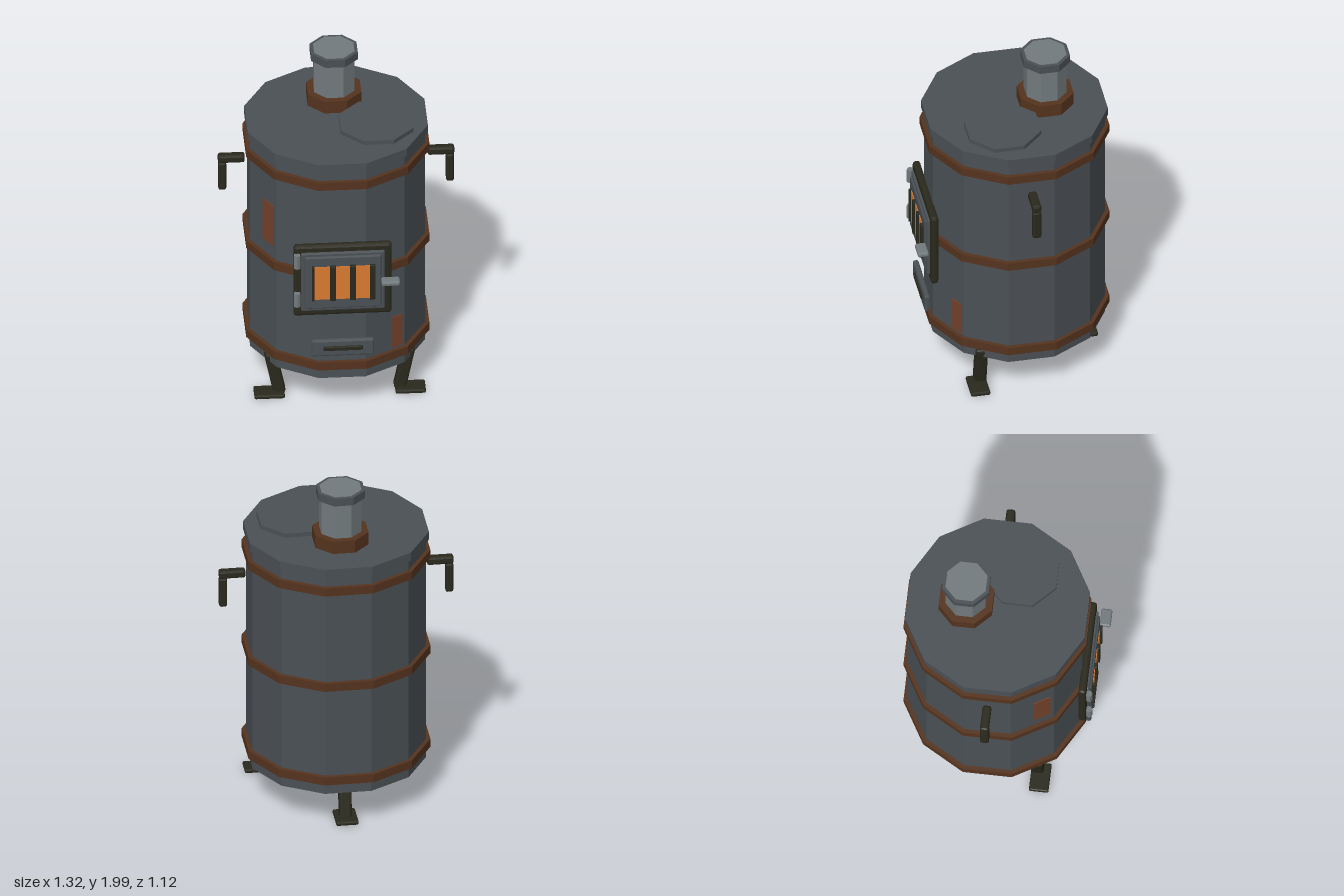
import * as THREE from 'three';
import { RoundedBoxGeometry } from 'three/addons/geometries/RoundedBoxGeometry.js';

const CZ = -0.05; // barrel axis

export function createModel() {
  const root = new THREE.Group();
  root.name = 'barrelStove';
  const mat = (name, color) => {
    const m = new THREE.MeshStandardMaterial({ color });
    m.name = name;
    return m;
  };
  const steel = mat('dark steel', 0x4a5055);
  const rust = mat('rusty band', 0x55331e);
  const iron = mat('black iron', 0x29291d);
  const pipe = mat('light steel', 0x727a7d);
  const glow = mat('fire glow', 0xd97a30);
  const patch = mat('rust patch', 0x74412a);

  const add = (name, geo, material, x, y, z) => {
    const g = geo.index ? geo.toNonIndexed() : geo;
    g.computeVertexNormals(); // faceted look
    const m = new THREE.Mesh(g, material);
    m.name = name;
    m.position.set(x, y, z);
    root.add(m);
    return m;
  };
  // Upright prism with its flats facing the axes, given by flat-to-centre distance
  const prism = (name, sides, apothem, y0, y1, x, z, material) => {
    const r = apothem / Math.cos(Math.PI / sides);
    const g = new THREE.CylinderGeometry(r, r, y1 - y0, sides).rotateY(Math.PI / sides);
    return add(name, g, material, x, (y0 + y1) / 2, z);
  };
  // Box with small chamfers, given by its extents
  const block = (name, [x0, x1], [y0, y1], [z0, z1], material, bevel = 0.008) =>
    add(name, new RoundedBoxGeometry(x1 - x0, y1 - y0, z1 - z0, 1, bevel), material,
      (x0 + x1) / 2, (y0 + y1) / 2, (z0 + z1) / 2);

  // Barrel, lid and hoops
  prism('body', 12, 0.49, 0.235, 1.615, 0, CZ, steel);
  prism('lid', 12, 0.505, 1.61, 1.66, 0, CZ, steel);
  for (const y of [0.325, 0.917, 1.52]) prism('hoop', 12, 0.513, y - 0.025, y + 0.025, 0, CZ, rust);
  prism('cookingPlate', 8, 0.204, 1.655, 1.685, 0.217, 0.06, steel);

  // Chimney
  prism('chimneyCollar', 8, 0.15, 1.655, 1.737, 0, -0.225, rust);
  prism('chimneyPipe', 8, 0.113, 1.7, 2.0, 0, -0.225, pipe);
  prism('chimneyCap', 8, 0.131, 1.95, 1.997, 0, -0.225, steel);

  // Side handles
  for (const s of [-1, 1]) {
    const arm = new RoundedBoxGeometry(0.15, 0.048, 0.05, 1, 0.012);
    add('handleArm', arm, iron, s * 0.587, 1.408, CZ);
    const grip = new RoundedBoxGeometry(0.045, 0.18, 0.05, 1, 0.012);
    add('handleGrip', grip, iron, s * 0.638, 1.297, CZ);
  }

  // Tilted legs with flat feet
  const leg = (top, bottom) => {
    const a = new THREE.Vector3(...top), b = new THREE.Vector3(...bottom);
    const dir = a.clone().sub(b);
    const m = add('leg', new RoundedBoxGeometry(0.07, dir.length(), 0.07, 1, 0.015), iron,
      ...a.clone().add(b).multiplyScalar(0.5).toArray());
    m.quaternion.setFromUnitVectors(new THREE.Vector3(0, 1, 0), dir.normalize());
  };
  for (const s of [-1, 1]) {
    leg([s * 0.39, 0.285, 0.215], [s * 0.335, 0.015, 0.215]);
    const foot = new RoundedBoxGeometry(0.17, 0.025, 0.11, 1, 0.008);
    add('foot', foot, iron, s * 0.395, 0.022, 0.235);
  }
  leg([0, 0.285, -0.37], [0, 0.015, -0.427]);
  block('foot', [-0.063, 0.063], [0.01, 0.035], [-0.515, -0.35], iron);

  // Fire door with glowing window and bars
  block('doorFrame', [-0.275, 0.275], [0.675, 1.137], [0.435, 0.478], iron, 0.015);
  block('doorPanel', [-0.235, 0.235], [0.715, 1.097], [0.46, 0.492], steel);
  block('doorInset', [-0.215, 0.215], [0.735, 1.077], [0.47, 0.503], steel);
  add('window', new THREE.BoxGeometry(0.34, 0.215, 0.006), glow, 0, 0.907, 0.504);
  for (const [x, w] of [[-0.168, 0.012], [-0.057, 0.032], [0.055, 0.032], [0.165, 0.032]])
    block('windowBar', [x - w / 2, x + w / 2], [0.795, 1.022], [0.497, 0.52], iron, 0.004);
  for (const y of [0.797, 1.05])
    add('hinge', new THREE.CylinderGeometry(0.02, 0.02, 0.085, 6), pipe, -0.257, y, 0.493);
  block('latch', [0.212, 0.316], [0.902, 0.932], [0.498, 0.56], pipe, 0.01);

  // Ash drawer
  block('ashDrawer', [-0.175, 0.175], [0.412, 0.517], [0.463, 0.495], steel, 0.01);
  block('drawerPull', [-0.11, 0.11], [0.453, 0.479], [0.48, 0.505], iron, 0.004);

  // Rust patches lying on the slanted barrel sides
  const rustPatch = (angle, offset, width, y0, y1) => {
    const s = Math.sin(angle), c = Math.cos(angle), d = 0.492;
    const m = add('rustPatch', new THREE.BoxGeometry(width, y1 - y0, 0.008), patch,
      s * d + c * offset, (y0 + y1) / 2, CZ + c * d - s * offset);
    m.rotation.y = angle;
  };
  rustPatch(-Math.PI / 3, 0.054, 0.105, 1.025, 1.29);
  rustPatch(Math.PI / 6, 0.075, 0.075, 0.365, 0.565);

  return root;
}
